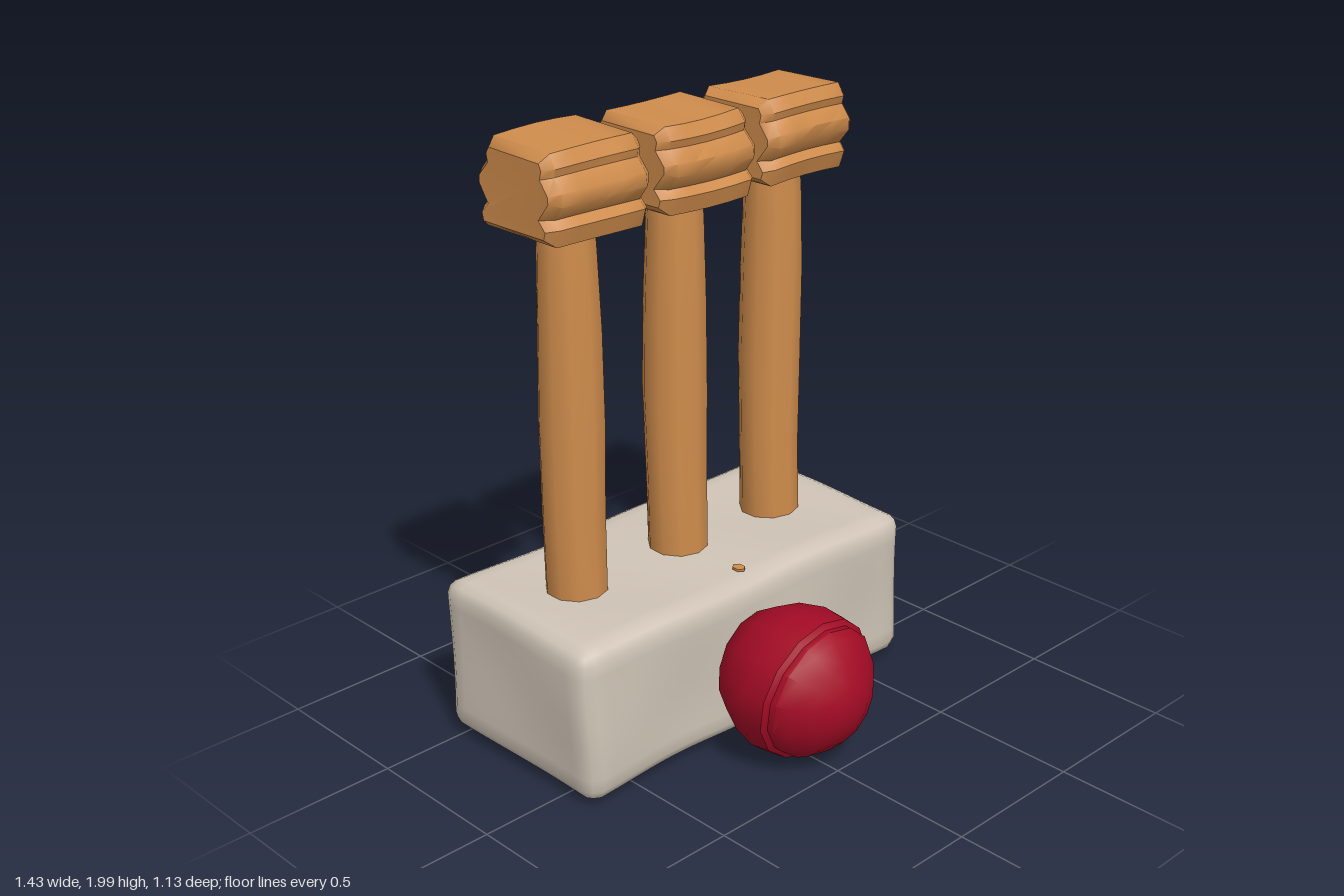
import * as THREE from 'three';
import { toCreasedNormals } from 'three/addons/utils/BufferGeometryUtils.js';

// Moves every vertex by a rule, then rebuilds smooth normals with sharp creases.
function sculpt(geometry, rule, crease = 0.6) {
  const pos = geometry.attributes.position;
  const v = new THREE.Vector3();
  for (let i = 0; i < pos.count; i++) {
    v.fromBufferAttribute(pos, i);
    rule(v);
    pos.setXYZ(i, v.x, v.y, v.z);
  }
  return toCreasedNormals(geometry, crease);
}

// Smooth uneven offset that depends only on position, so seams stay closed.
function wobble(v, amount, freq, phase) {
  const { x, y, z } = v;
  v.x += amount * Math.sin(freq * y + phase) * Math.cos(freq * 0.8 * z + phase * 2);
  v.y += amount * Math.sin(freq * x + phase * 3) * Math.cos(freq * 0.7 * z + phase);
  v.z += amount * Math.sin(freq * 0.9 * x + phase) * Math.cos(freq * y + phase * 1.7);
}

// Worn stone block with rounded edges
function blockGeometry(w, h, d, r) {
  const half = new THREE.Vector3(w / 2 - r, h / 2 - r, d / 2 - r);
  const low = half.clone().negate();
  const inner = new THREE.Vector3();
  return sculpt(new THREE.BoxGeometry(w, h, d, 30, 12, 16), (v) => {
    inner.copy(v).clamp(low, half);
    v.sub(inner).setLength(r).add(inner);
    wobble(v, 0.007, 9, 0.6);
  }, 0.9);
}

// Carved head: notched side outline running along x
function headGeometry(phase) {
  const side = [[0.13, 0.135], [0.155, 0.095], [0.148, 0.07], [0.182, 0.03], [0.182, -0.01],
    [0.145, -0.055], [0.168, -0.08], [0.15, -0.135]];
  const outline = [...side, ...side.map(([x, y]) => [-x, y]).reverse()];
  const shape = new THREE.Shape(outline.map(([x, y]) => new THREE.Vector2(x, y)));
  const geo = new THREE.ExtrudeGeometry(shape, {
    depth: 0.31, steps: 4, bevelEnabled: true, bevelThickness: 0.03, bevelSize: 0.025,
    bevelOffset: -0.025, bevelSegments: 1,
  });
  geo.translate(0, 0, -0.155).rotateY(Math.PI / 2);
  return sculpt(geo, (v) => wobble(v, 0.009, 8, phase), 0.75);
}

// Post: slightly uneven ten-sided shaft
function postGeometry(phase) {
  const profile = [[0.1, 0.48], [0.1, 0.8], [0.103, 1.1], [0.1, 1.4], [0.093, 1.65], [0.088, 1.77]];
  const geo = new THREE.LatheGeometry(profile.map(([r, y]) => new THREE.Vector2(r, y)), 10);
  return sculpt(geo, (v) => wobble(v, 0.005, 5, phase), 0.8);
}

// Ball: lathe along z with a slanted groove near the front
function ballGeometry() {
  const profile = [[0, -0.25], [0.1, -0.23], [0.18, -0.175], [0.23, -0.09], [0.25, 0], [0.24, 0.075],
    [0.222, 0.088], [0.222, 0.112], [0.2, 0.145], [0.14, 0.2], [0.07, 0.236], [0, 0.247]];
  const geo = new THREE.LatheGeometry(profile.map(([r, y]) => new THREE.Vector2(r, y)), 14);
  geo.rotateX(Math.PI / 2);
  return sculpt(geo, (v) => {
    const nearGroove = Math.max(0, 1 - Math.abs(v.z - 0.09) / 0.15);
    v.z += 0.12 * v.y * nearGroove;
    wobble(v, 0.004, 10, 1.2);
  }, 0.7);
}

export function createModel() {
  const model = new THREE.Group();
  const material = (name, color) => {
    const m = new THREE.MeshStandardMaterial({ color });
    m.name = name;
    return m;
  };
  const wood = material('wood', 0xcf8c4c);
  const stone = material('stone', 0xcfc4b6);
  const red = material('red', 0xa30b25);

  const add = (parent, name, geometry, mat, x, y, z) => {
    const mesh = new THREE.Mesh(geometry, mat);
    mesh.name = name;
    mesh.position.set(x, y, z);
    parent.add(mesh);
    return mesh;
  };

  add(model, 'base', blockGeometry(1.415, 0.52, 0.695, 0.05), stone, 0, 0.284, -0.213);
  add(model, 'ball', ballGeometry(), red, 0, 0.258, 0.32);

  // Three mallet-like posts
  [-0.43, 0, 0.425].forEach((x, i) => {
    const mallet = new THREE.Group();
    mallet.name = ['rightMallet', 'middleMallet', 'leftMallet'][i];
    add(mallet, 'post', postGeometry(i * 1.9 + 0.4), wood, x, 0, -0.228);
    add(mallet, 'head', headGeometry(i * 2.1 + 0.5), wood, x, 1.858, -0.228);
    model.add(mallet);
  });

  // Small wood chip lying on the base
  const chip = add(model, 'chip', new THREE.CylinderGeometry(0.024, 0.024, 0.008, 6), wood, 0.015, 0.548, 0.042);
  chip.scale.x = 0.8;

  return model;
}
